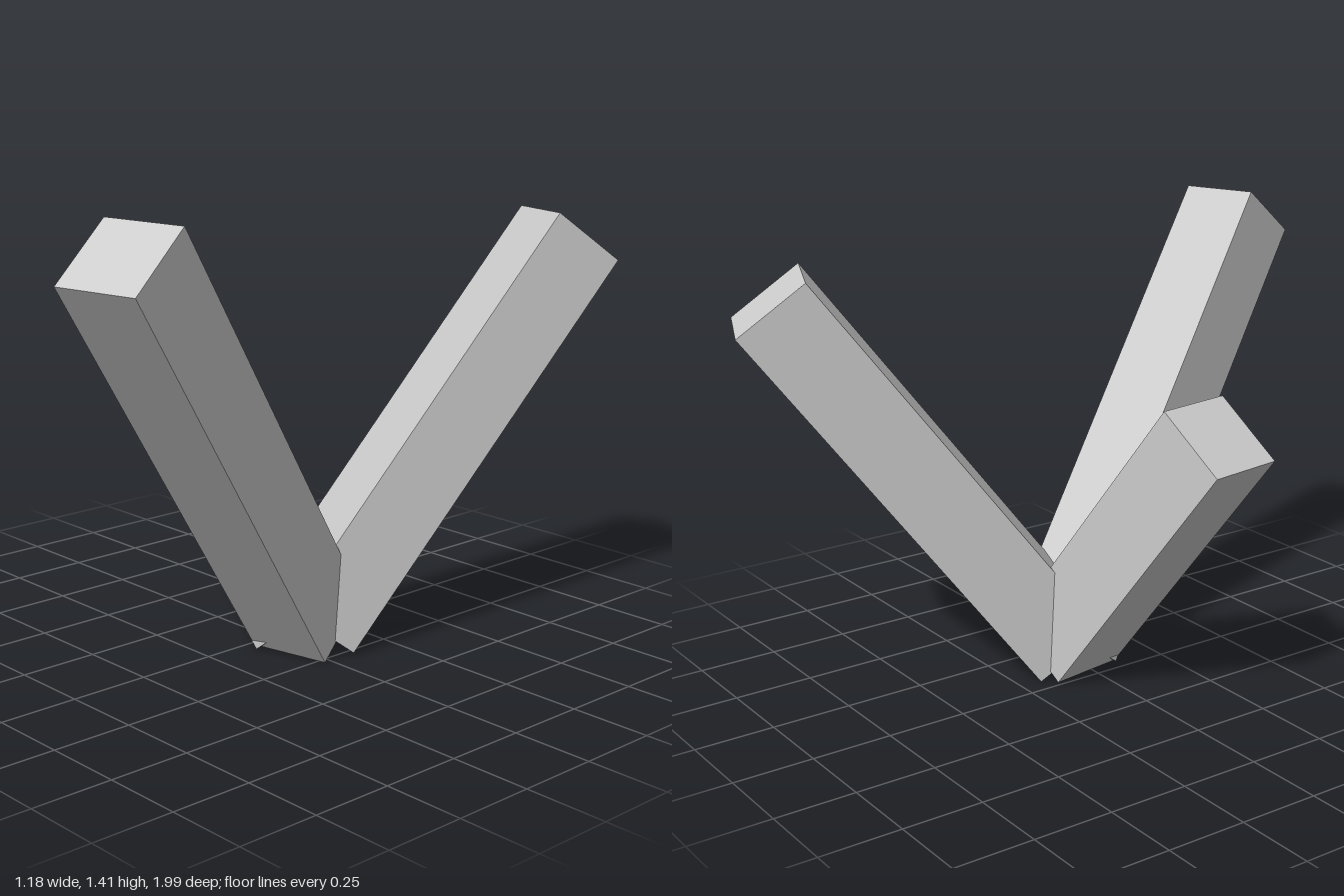
import * as THREE from 'three';

const SIDE = 0.254;
const BASE = new THREE.Vector3(0.128, 0.082, -0.04);

// Square beam from the shared base to the centre of its end face;
// "across" is the nearly level direction of its width.
function beam(name, end, across, material) {
  const tip = new THREE.Vector3(...end);
  const axis = tip.clone().sub(BASE);
  const length = axis.length();
  axis.normalize();
  const x = new THREE.Vector3(...across);
  x.addScaledVector(axis, -x.dot(axis)).normalize();
  const z = x.clone().cross(axis);

  const mesh = new THREE.Mesh(new THREE.BoxGeometry(SIDE, length, SIDE), material);
  mesh.name = name;
  mesh.quaternion.setFromRotationMatrix(new THREE.Matrix4().makeBasis(x, axis, z));
  mesh.position.copy(BASE).add(tip).multiplyScalar(0.5);
  return mesh;
}

export function createModel() {
  const group = new THREE.Group();
  group.name = 'threeBeams';
  const material = new THREE.MeshStandardMaterial({ color: 0xcccccc, flatShading: true });

  // Three beams of different length fanning out and up from one point
  group.add(
    beam('frontBeam', [0.395, 1.33, 0.862], [0.245, -0.005, -0.065], material),
    beam('backBeam', [0.432, 1.233, -0.857], [0.235, 0.005, 0.1], material),
    beam('rightBeam', [-0.472, 0.881, 0.083], [0.045, -0.005, 0.25], material),
  );
  return group;
}
